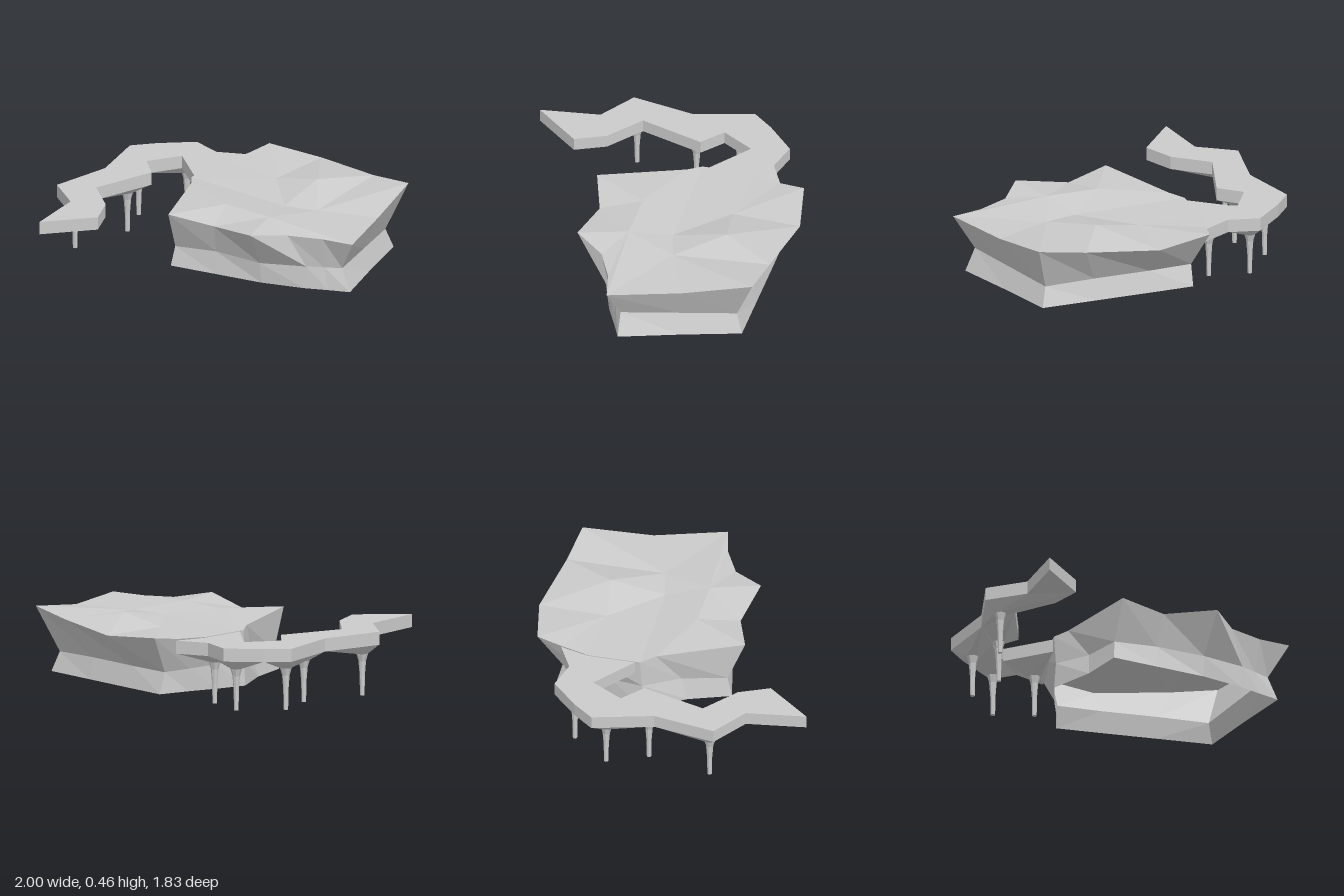
import * as THREE from 'three';
import { ConvexGeometry } from 'three/addons/geometries/ConvexGeometry.js';

const stone = new THREE.MeshStandardMaterial({ color: 0xcccccc, flatShading: true, side: THREE.DoubleSide });

function addMesh(parent, name, geometry) {
  const mesh = new THREE.Mesh(geometry, stone);
  mesh.name = name;
  parent.add(mesh);
}

// Faceted surface from [x, y, z] points and clockwise-from-outside triangles
function facets(points, triangles) {
  const positions = triangles.flatMap(([a, b, c]) => [points[a], points[c], points[b]].flat());
  const geometry = new THREE.BufferGeometry();
  geometry.setAttribute('position', new THREE.Float32BufferAttribute(positions, 3));
  geometry.computeVertexNormals();
  return geometry;
}

// Plateau cross-sections, point for point around the rock
const rim = [
  [-0.34, 0.425, -0.84], [0, 0.40, -0.92], [0.45, 0.425, -0.87], [0.74, 0.46, -0.85], [0.85, 0.40, -0.44],
  [1, 0.40, -0.02], [0.81, 0.40, 0.03], [0.62, 0.405, 0.13], [0.49, 0.43, 0.32], [0.17, 0.39, 0.28],
  [-0.10, 0.425, 0.38], [-0.33, 0.41, -0.11], [-0.40, 0.40, -0.19], [-0.41, 0.40, -0.51], [-0.37, 0.405, -0.68],
];
const waist = [
  [-0.27, 0.19, -0.70], [0, 0.19, -0.72], [0.35, 0.19, -0.73], [0.66, 0.18, -0.73], [0.77, 0.19, -0.40],
  [0.88, 0.20, -0.07], [0.79, 0.20, -0.01], [0.70, 0.20, 0.05], [0.44, 0.19, 0.17], [0.14, 0.20, 0.22],
  [-0.13, 0.18, 0.28], [-0.23, 0.20, 0.02], [-0.39, 0.22, -0.18], [-0.36, 0.21, -0.38], [-0.32, 0.20, -0.55],
];
const foot = [
  [-0.27, -0.74], [0, -0.75], [0.35, -0.76], [0.69, -0.77], [0.81, -0.42],
  [0.94, -0.07], [0.82, -0.01], [0.69, 0.06], [0.44, 0.16], [0.15, 0.235],
  [-0.14, 0.31], [-0.24, 0.06], [-0.40, -0.18], [-0.36, -0.37], [-0.31, -0.55],
].map(([x, z]) => [x, 0.06, z]);

// Points inside the plateau top (numbered 15 to 20 after the rim)
const inner = [
  [0, 0.40, -0.50], [0.28, 0.457, -0.55], [0.50, 0.40, -0.28],
  [0.30, 0.395, -0.22], [0.07, 0.43, 0.04], [0.39, 0.43, 0.03],
];
const topTriangles = [
  [0, 1, 15], [1, 2, 16], [1, 16, 15], [2, 3, 17], [2, 17, 16], [3, 4, 17], [4, 5, 17],
  [5, 20, 17], [5, 6, 20], [6, 7, 20], [7, 8, 20], [8, 9, 20], [9, 19, 20], [9, 10, 19],
  [10, 11, 19], [11, 12, 19], [12, 18, 19], [18, 20, 19], [17, 20, 18], [15, 16, 18],
  [16, 17, 18], [12, 15, 18], [12, 13, 15], [13, 14, 15], [14, 0, 15],
];

// Wall between two closed cross-sections
function wall(upper, lower) {
  const n = upper.length;
  const triangles = [];
  for (let i = 0; i < n; i++) {
    const j = (i + 1) % n;
    triangles.push([i, n + i, j], [j, n + i, n + j]);
  }
  return facets([...upper, ...lower], triangles);
}

// Walkway outline as [x, z]
const path = [
  [-0.36, -0.69], [-0.54, -0.59], [-0.73, -0.63], [-0.90, -0.46], [-1, -0.33], [-0.89, 0.03],
  [-0.945, 0.41], [-0.72, 0.55], [-0.66, 0.91], [-0.44, 0.63], [-0.53, 0.45], [-0.74, 0.29],
  [-0.635, -0.10], [-0.77, -0.21], [-0.66, -0.41], [-0.40, -0.22],
];
const deckBottom = 0.315, deckTop = 0.395;

// Each post with the outline corners its bracket spreads to
const posts = [
  { x: -0.845, z: 0.36, spread: [[6, 7, 9, 10, 11], [5, 6, 11]] },
  { x: -0.77, z: -0.035, spread: [[5, 11, 12, 13]] },
  { x: -0.88, z: -0.27, spread: [[3, 4, 5, 13]] },
  { x: -0.705, z: -0.51, spread: [[1, 2, 3, 14], [3, 13, 14]] },
  { x: -0.46, z: -0.47, spread: [[0, 1, 14, 15]] },
];

export function createModel() {
  const model = new THREE.Group();
  model.name = 'rockPlateauWithWalkway';

  // Rock plateau: rippled top, undercut cliff and spreading base, open below
  const plateau = new THREE.Group();
  plateau.name = 'plateau';
  addMesh(plateau, 'plateauTop', facets([...rim, ...inner], topTriangles));
  addMesh(plateau, 'plateauCliff', wall(rim, waist));
  addMesh(plateau, 'plateauBase', wall(waist, foot));
  model.add(plateau);

  // Winding walkway slab
  const walkway = new THREE.Group();
  walkway.name = 'walkway';
  const outline = new THREE.Shape(path.map(([x, z]) => new THREE.Vector2(x, -z)));
  const deck = new THREE.ExtrudeGeometry(outline, { depth: deckTop - deckBottom, bevelEnabled: false });
  addMesh(walkway, 'walkwayDeck', deck.rotateX(-Math.PI / 2).translate(0, deckBottom, 0));

  // Posts that flare into faceted brackets under the deck
  const profile = [[0, 0], [0.014, 0], [0.016, 0.12], [0.023, 0.21], [0.036, 0.255], [0.036, 0.30]]
    .map(([r, y]) => new THREE.Vector2(r, y));
  for (const { x, z, spread } of posts) {
    addMesh(walkway, 'post', new THREE.LatheGeometry(profile, 8).translate(x, 0, z));
    for (const corners of spread) {
      const points = corners.map(i => new THREE.Vector3(path[i][0], deckBottom + 0.002, path[i][1]));
      for (let k = 0; k < 8; k++) {
        const a = (k * Math.PI) / 4;
        points.push(new THREE.Vector3(x + 0.036 * Math.sin(a), 0.255, z + 0.036 * Math.cos(a)));
      }
      addMesh(walkway, 'postBracket', new ConvexGeometry(points));
    }
  }
  model.add(walkway);
  return model;
}
